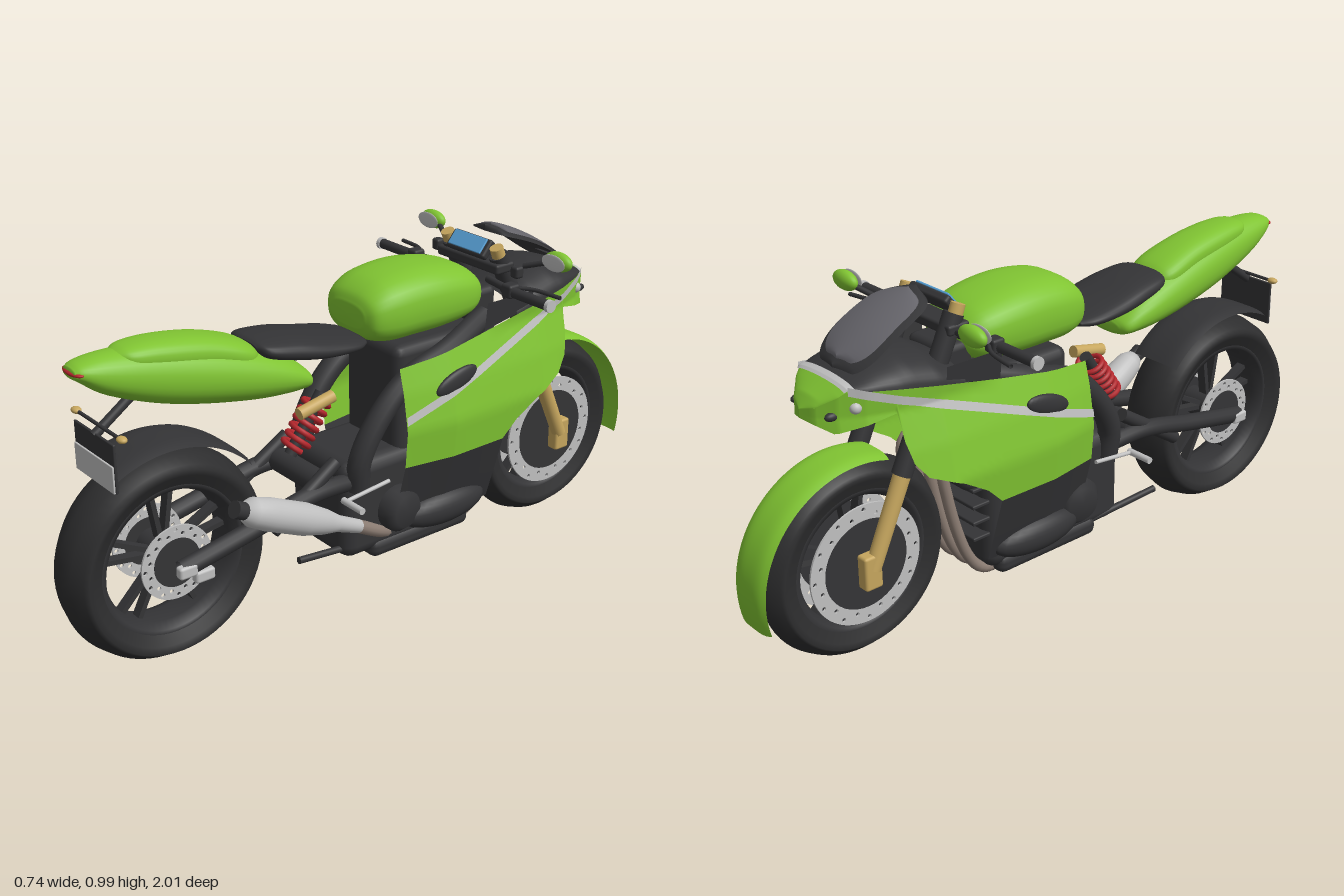
import * as THREE from 'three';
import { RoundedBoxGeometry } from 'three/addons/geometries/RoundedBoxGeometry.js';

const mat = (name, color) => new THREE.MeshStandardMaterial({ name, color, side: THREE.DoubleSide });
const V = (x, y, z) => new THREE.Vector3(x, y, z);
const rad = THREE.MathUtils.degToRad;

// Piecewise-linear lookup in [[key, value], ...] with descending keys
function table(rows, k) {
  if (k >= rows[0][0]) return rows[0][1];
  for (let i = 1; i < rows.length; i++) {
    const [k0, v0] = rows[i - 1], [k1, v1] = rows[i];
    if (k >= k1) return v0 + (v1 - v0) * (k - k0) / (k1 - k0);
  }
  return rows[rows.length - 1][1];
}

// Grid surface from fn(u, v) -> Vector3; closed wraps around in v
function surface(nu, nv, fn, closed = false) {
  const pos = [], idx = [], cols = closed ? nv : nv + 1;
  for (let i = 0; i <= nu; i++)
    for (let j = 0; j < cols; j++) pos.push(...fn(i / nu, j / nv).toArray());
  for (let i = 0; i < nu; i++)
    for (let j = 0; j < nv; j++) {
      const a = i * cols + j, b = i * cols + (j + 1) % cols;
      idx.push(a, a + cols, b, b, a + cols, b + cols);
    }
  const g = new THREE.BufferGeometry();
  g.setAttribute('position', new THREE.Float32BufferAttribute(pos, 3));
  g.setIndex(idx);
  g.computeVertexNormals();
  return g;
}

// Rounded body through stations [z, yBottom, yTop, halfWidth]
function loft(stations, e = 0.8) {
  const lo = new THREE.CatmullRomCurve3(stations.map(s => V(s[3], s[1], s[0])));
  const hi = new THREE.CatmullRomCurve3(stations.map(s => V(s[3], s[2], s[0])));
  const pw = c => Math.sign(c) * Math.pow(Math.abs(c), e);
  return surface(40, 32, (u, v) => {
    const t = THREE.MathUtils.clamp(u * 1.04 - 0.02, 0, 1), a = lo.getPoint(t), b = hi.getPoint(t);
    const k = u === 0 || u === 1 ? 0 : 1, w = v * Math.PI * 2;
    return V(a.x * k * pw(Math.cos(w)), (a.y + b.y) / 2 + k * pw(Math.sin(w)) * (b.y - a.y) / 2, (a.z + b.z) / 2);
  }, true);
}

// Fairing outline and width rules
const topEdge = [[0.01, 0.70], [-0.1, 0.71], [-0.3, 0.74], [-0.5, 0.78], [-0.62, 0.80], [-0.74, 0.812], [-0.815, 0.755]];
const lowEdge = [[0.01, 0.41], [-0.34, 0.41], [-0.39, 0.46], [-0.47, 0.51], [-0.57, 0.555], [-0.605, 0.60], [-0.62, 0.66], [-0.625, 0.735], [-0.77, 0.70], [-0.815, 0.73]];
const crown = [[-0.42, 0.815], [-0.5, 0.858], [-0.58, 0.872], [-0.66, 0.855], [-0.74, 0.825], [-0.79, 0.79], [-0.815, 0.755]];
const widthY = [[0.83, 0.178], [0.74, 0.168], [0.63, 0.202], [0.52, 0.224], [0.41, 0.214], [0.28, 0.175], [0.2, 0.15]];
const widthZ = [[0.01, 0.88], [-0.15, 1], [-0.5, 0.98], [-0.62, 0.89], [-0.7, 0.73], [-0.76, 0.52], [-0.8, 0.26], [-0.815, 0]];
const halfWidth = (y, z) => table(widthY, y) * table(widthZ, z);
const stripeY = z => 0.553 - 0.347 * (z - 0.01);

export function createModel() {
  const root = new THREE.Group();
  root.name = 'motorcycle';
  const green = mat('green paint', 0x80c432), black = mat('black plastic', 0x343436), rubber = mat('tyre rubber', 0x2d2d2e);
  const silver = mat('silver', 0xc0c0c0), gold = mat('gold', 0xc6a65e), red = mat('red', 0xb4262c);
  const blue = mat('blue display', 0x5aa5dc), smoke = mat('smoked screen', 0x65646a), pipe = mat('header pipe', 0x8c7d73);

  const add = (name, geo, m, x = 0, y = 0, z = 0) => {
    const mesh = new THREE.Mesh(geo, m);
    mesh.name = name;
    mesh.position.set(x, y, z);
    root.add(mesh);
    return mesh;
  };
  const box = (name, m, w, h, d, x, y, z, r = 0.008) => add(name, new RoundedBoxGeometry(w, h, d, 2, r), m, x, y, z);
  const ball = (name, m, rx, ry, rz, x, y, z) => {
    const o = add(name, new THREE.SphereGeometry(1, 24, 16), m, x, y, z);
    o.scale.set(rx, ry, rz);
    return o;
  };
  const tube = (name, m, r, pts) => add(name, new THREE.TubeGeometry(new THREE.CatmullRomCurve3(pts), 32, r, 12), m);
  const turned = (name, m, a, b, profile) => { // profile [radius, 0..1] turned about the line a-b
    const d = b.clone().sub(a), len = d.length();
    const o = add(name, new THREE.LatheGeometry(profile.map(p => new THREE.Vector2(p[0], p[1] * len)), 24), m, ...a.toArray());
    o.quaternion.setFromUnitVectors(V(0, 1, 0), d.normalize());
    return o;
  };
  const bar = (name, m, a, b, r, r2 = r) => turned(name, m, a, b, [[0, 0], [r, 0], [r, 0], [r2, 1], [r2, 1], [0, 1]]);
  const side = (name, m, s, z0, z1, top, low, off = 0, n = 60) => add(name, surface(n, 16, (u, v) => {
    const z = z0 + (z1 - z0) * u, lo = low(z), y = lo + (Math.max(top(z), lo) - lo) * v;
    return V(s * (halfWidth(y, z) + off), y, z);
  }), m);
  const dome = (name, m, z0, z1, off = 0) => add(name, surface(24, 24, (u, v) => {
    const z = z0 + (z1 - z0) * u, t = table(topEdge, z), a = Math.PI * v;
    return V(Math.cos(a) * (halfWidth(t, z) + off), t + Math.sin(a) * (table(crown, z) - t) + off, z);
  }), m);
  const arcShell = (name, m, cy, cz, r0, r1, a0, a1, hw) => add(name, surface(40, 10, (u, v) => {
    const a = rad(a0 + (a1 - a0) * u), w = v * 2 - 1, r = r0 + (r1 - r0) * u - 0.012 * w ** 4;
    return V(hw * w, cy + r * Math.sin(a), cz - r * Math.cos(a));
  }), m);

  // Wheels
  function wheel(label, cy, cz, R, hw, ri, disc0, disc1, discX) {
    const g = new THREE.Group();
    g.name = label;
    g.position.set(0, cy, cz);
    root.add(g);
    const put = (name, geo, m) => { const o = new THREE.Mesh(geo, m); o.name = name; g.add(o); return o; };
    const lathe = pts => new THREE.LatheGeometry(pts.map(p => new THREE.Vector2(...p)), 64).rotateZ(Math.PI / 2);
    const half = [[ri, 0.72], [ri + 0.03, 0.9], [ri + (R - ri) * 0.55, 1], [R - 0.03, 0.84], [R - 0.01, 0.5], [R, 0]];
    put('tyre', lathe([...half.map(([r, x]) => [r, -x * hw]), ...half.slice(0, -1).reverse().map(([r, x]) => [r, x * hw])]), rubber);
    const w = hw * 0.72;
    put('rim', lathe([[ri, -w], [ri - 0.012, -w], [ri - 0.025, -w * 0.5], [ri - 0.025, w * 0.5], [ri - 0.012, w], [ri, w]]), black);
    put('hub', new THREE.CylinderGeometry(0.045, 0.045, hw * 1.3, 24).rotateZ(Math.PI / 2), black);
    for (let i = 0; i < 10; i++) {
      const sp = put('spoke', new THREE.BoxGeometry(0.03, ri - 0.04, 0.014).translate(0, ri / 2 + 0.01, 0), black);
      sp.rotation.x = Math.floor(i / 2) * Math.PI * 0.4 + (i % 2 ? 0.16 : -0.16);
    }
    const ring = new THREE.Shape().absarc(0, 0, disc1, 0, Math.PI * 2);
    ring.holes.push(new THREE.Path().absarc(0, 0, disc0, 0, Math.PI * 2, true));
    for (let i = 0; i < 24; i++) {
      const a = i * Math.PI / 12, r = disc0 + (disc1 - disc0) * (i % 2 ? 0.35 : 0.7);
      ring.holes.push(new THREE.Path().absarc(Math.cos(a) * r, Math.sin(a) * r, 0.006, 0, Math.PI * 2, true));
    }
    const discGeo = new THREE.ExtrudeGeometry(ring, { depth: 0.006, bevelEnabled: false, curveSegments: 40 }).rotateY(Math.PI / 2);
    for (const s of [-1, 1]) {
      put('brakeDisc', discGeo, silver).position.x = s * discX - 0.003;
      put('discCarrier', new THREE.CylinderGeometry(disc0, disc0, 0.008, 40).rotateZ(Math.PI / 2), black).position.x = s * discX;
    }
  }
  wheel('rearWheel', 0.303, 0.695, 0.303, 0.09, 0.215, 0.07, 0.107, 0.075);
  wheel('frontWheel', 0.288, -0.685, 0.287, 0.062, 0.205, 0.13, 0.175, 0.062);
  arcShell('frontFender', green, 0.288, -0.685, 0.303, 0.327, 107, -17, 0.07);
  arcShell('rearMudguard', black, 0.303, 0.695, 0.342, 0.333, 120, 42, 0.088).rotation.set(0, 0, 0);

  // Tank, seat and tail
  add('tank', loft([[0.07, 0.80, 0.86, 0.07], [0.05, 0.765, 0.895, 0.11], [0, 0.747, 0.925, 0.13], [-0.1, 0.745, 0.94, 0.14], [-0.2, 0.747, 0.935, 0.14], [-0.3, 0.76, 0.91, 0.125], [-0.34, 0.785, 0.88, 0.1], [-0.355, 0.82, 0.85, 0.06]], 0.75), green);
  add('seat', loft([[0.41, 0.815, 0.835, 0.05], [0.39, 0.795, 0.842, 0.09], [0.3, 0.768, 0.835, 0.11], [0.2, 0.752, 0.812, 0.115], [0.1, 0.75, 0.79, 0.105], [0.06, 0.755, 0.78, 0.08]]), black);
  add('tail', loft([[0.92, 0.86, 0.885, 0.03], [0.9, 0.845, 0.895, 0.045], [0.84, 0.80, 0.903, 0.062], [0.7, 0.74, 0.895, 0.083], [0.55, 0.70, 0.868, 0.098], [0.4, 0.675, 0.822, 0.105], [0.3, 0.67, 0.775, 0.10], [0.25, 0.675, 0.735, 0.085], [0.235, 0.69, 0.715, 0.05]], 0.9), green);
  add('tailPad', loft([[0.8, 0.87, 0.9, 0.03], [0.77, 0.85, 0.91, 0.055], [0.7, 0.83, 0.912, 0.068], [0.55, 0.80, 0.89, 0.077], [0.43, 0.77, 0.848, 0.078], [0.395, 0.78, 0.82, 0.05]]), green);
  ball('tailLight', red, 0.046, 0.009, 0.02, 0, 0.873, 0.905);

  // Number plate and rear indicators
  box('plateHolder', black, 0.2, 0.135, 0.008, 0, 0.632, 0.864, 0.003);
  box('numberPlate', silver, 0.194, 0.075, 0.006, 0, 0.603, 0.87, 0.002);
  bar('plateArm', black, V(0, 0.69, 0.865), V(0, 0.785, 0.73), 0.013);
  bar('indicatorStalk', black, V(-0.11, 0.715, 0.85), V(0.11, 0.715, 0.85), 0.005);

  // Nose, cowl and windscreen
  dome('cowl', black, -0.42, -0.735);
  dome('noseCap', green, -0.735, -0.815);
  dome('noseStripe', silver, -0.725, -0.748, 0.004);
  add('noseFloor', surface(20, 8, (u, v) => {
    const z = -0.625 - 0.19 * u, y = table(lowEdge, z);
    return V((v * 2 - 1) * halfWidth(y, z), y, z);
  }), green);
  const screen = (name, m, k, off) => add(name, surface(30, 16, (u, v) => {
    const t = 0.5 + (u - 0.5) * k, w = (v * 2 - 1) * k;
    const hw = 0.118 * Math.pow(Math.max(0, 1 - Math.pow(Math.abs(u * 2 - 1), 3.5)), 0.4) * (0.86 + 0.14 * u);
    return V(w * hw, 0.99 - 0.145 * t + 0.09 * t * (1 - t) - 0.02 * w * w + off, -0.44 - 0.27 * t - off);
  }), m);
  screen('windscreenEdge', black, 1, 0);
  screen('windscreen', smoke, 0.86, 0.005);

  // Engine, belly and frame centre
  box('engineBlock', black, 0.27, 0.3, 0.5, 0, 0.29, -0.07, 0.04);
  box('bellyPan', black, 0.28, 0.06, 0.37, 0, 0.148, -0.1, 0.025);
  box('cylinderBlock', black, 0.24, 0.34, 0.37, 0, 0.57, -0.2, 0.03);
  for (let i = 0; i < 5; i++) box('coolingFin', black, 0.25, 0.012, 0.06, 0, 0.26 + i * 0.05, -0.34, 0.004);
  box('steeringHead', black, 0.16, 0.14, 0.1, 0, 0.76, -0.37, 0.02);
  for (const x of [-0.09, -0.03, 0.03, 0.09])
    tube('headerPipe', pipe, 0.016, [V(x, 0.55, -0.38), V(x, 0.51, -0.44), V(x, 0.4, -0.43), V(x, 0.2, -0.365), V(x, 0.14, -0.31), V(x * 0.8, 0.13, -0.18)]);

  // Mirrored parts
  for (const s of [-1, 1]) {
    side('sideFairing', green, s, 0.01, -0.815, z => table(topEdge, z), z => table(lowEdge, z), 0, 165);
    side('fairingStripe', silver, s, 0.01, -0.74, z => stripeY(z) + 0.012, z => stripeY(z) - 0.012, 0.004);
    side('lowerPanel', black, s, 0.01, -0.34, () => 0.41, () => 0.2);
    side('innerCowl', black, s, -0.3, -0.48, () => 0.825, z => table(topEdge, z), -0.004);
    ball('fairingVent', black, 0.014, 0.03, 0.077, s * 0.199, 0.635, -0.165).rotation.x = 0.3;
    ball('engineCover', black, 0.05, 0.055, 0.155, s * 0.15, 0.225, -0.165);
    turned('clutchCover', black, V(s * 0.1, 0.265, 0), V(s * 0.18, 0.265, -0.01), [[0.07, 0], [0.07, 0.7], [0.05, 1], [0, 1]]);
    tube('frameBeam', black, 0.034, [V(s * 0.125, 0.36, 0.13), V(s * 0.135, 0.45, 0.13), V(s * 0.14, 0.56, 0.07), V(s * 0.14, 0.65, -0.03), V(s * 0.135, 0.7, -0.18), V(s * 0.09, 0.75, -0.36)]);
    ball('headlight', silver, 0.016, 0.016, 0.016, s * 0.108, 0.765, -0.72);
    ball('noseIntake', black, 0.012, 0.012, 0.022, s * 0.075, 0.745, -0.768);
    ball('indicator', gold, 0.017, 0.009, 0.013, s * 0.115, 0.716, 0.85);

    // Fork
    bar('forkLower', gold, V(s * 0.1, 0.29, -0.69), V(s * 0.1, 0.56, -0.57), 0.022, 0.024);
    bar('forkUpper', black, V(s * 0.1, 0.53, -0.585), V(s * 0.1, 0.93, -0.4), 0.028);
    bar('forkCap', gold, V(s * 0.105, 0.925, -0.4), V(s * 0.105, 0.955, -0.388), 0.02);
    box('frontCaliper', gold, 0.04, 0.1, 0.055, s * 0.095, 0.285, -0.695);

    // Handlebar, levers and mirrors
    bar('handlebar', black, V(s * 0.09, 0.86, -0.375), V(s * 0.23, 0.86, -0.35), 0.011);
    bar('grip', black, V(s * 0.225, 0.86, -0.35), V(s * 0.362, 0.86, -0.35), 0.015);
    bar('barEnd', silver, V(s * 0.358, 0.86, -0.35), V(s * 0.37, 0.86, -0.35), 0.018);
    box('switchBlock', black, 0.04, 0.04, 0.04, s * 0.205, 0.862, -0.353);
    tube('lever', black, 0.006, [V(s * 0.2, 0.865, -0.37), V(s * 0.25, 0.865, -0.4), V(s * 0.34, 0.862, -0.415)]);
    box('reservoir', black, 0.03, 0.035, 0.03, s * 0.17, 0.895, -0.41);
    bar('mirrorStem', black, V(s * 0.165, 0.905, -0.44), V(s * 0.235, 0.928, -0.47), 0.008);
    ball('mirrorShell', green, 0.05, 0.028, 0.022, s * 0.268, 0.937, -0.475);
    ball('mirrorGlass', silver, 0.045, 0.024, 0.004, s * 0.268, 0.937, -0.453);

    // Swingarm, axle and footpegs
    tube('swingarm', black, 0.026, [V(s * 0.11, 0.38, 0.12), V(s * 0.122, 0.39, 0.28), V(s * 0.124, 0.35, 0.48), V(s * 0.122, 0.305, 0.71)]);
    bar('swingarmBrace', black, V(s * 0.115, 0.46, 0.2), V(s * 0.122, 0.32, 0.42), 0.02);
    box('axleBlock', silver, 0.028, 0.035, 0.055, s * 0.135, 0.305, 0.7);
    bar('footpeg', silver, V(s * 0.15, 0.355, 0.2), V(s * 0.235, 0.355, 0.2), 0.01);
    bar('pedal', silver, V(s * 0.16, 0.355, 0.2), V(s * 0.165, 0.375, 0.05), 0.006);
  }
  bar('swingarmCross', black, V(-0.12, 0.4, 0.24), V(0.12, 0.4, 0.24), 0.035);
  box('rearCaliper', silver, 0.03, 0.035, 0.06, 0.1, 0.255, 0.63);
  box('tripleClamp', black, 0.26, 0.03, 0.07, 0, 0.895, -0.405);
  bar('sideStand', black, V(-0.12, 0.16, 0.05), V(-0.14, 0.185, 0.32), 0.01);
  bar('stay', black, V(0.1, 0.16, 0.05), V(0.1, 0.185, 0.32), 0.01);

  // Dash
  box('dashHousing', black, 0.16, 0.06, 0.025, 0, 0.94, -0.385).rotation.x = -0.7;
  box('dashScreen', blue, 0.135, 0.048, 0.006, 0, 0.951, -0.374, 0.002).rotation.x = -0.7;

  // Rear shock: damper, spring and gas reservoir
  const a = V(0, 0.46, 0.27), b = V(0, 0.62, 0.16), coil = [];
  bar('damper', black, a, b, 0.018);
  for (let i = 0; i <= 72; i++) {
    const t = i / 12 * Math.PI * 2;
    coil.push(V(Math.cos(t) * 0.036, 0.02 + i / 72 * 0.15, Math.sin(t) * 0.036));
  }
  const spring = add('shockSpring', new THREE.TubeGeometry(new THREE.CatmullRomCurve3(coil), 160, 0.008, 8), red, ...a.toArray());
  spring.quaternion.setFromUnitVectors(V(0, 1, 0), b.clone().sub(a).normalize());
  bar('shockReservoir', gold, V(0.045, 0.598, 0.27), V(0.045, 0.622, 0.155), 0.018);

  // Muffler
  turned('muffler', silver, V(0.182, 0.45, 0.55), V(0.14, 0.25, 0.14), [[0, 0], [0.025, 0], [0.04, 0.06], [0.046, 0.2], [0.046, 0.5], [0.036, 0.68], [0.024, 0.8], [0.02, 1]]);
  bar('mufflerTip', black, V(0.182, 0.449, 0.548), V(0.184, 0.465, 0.58), 0.024);
  tube('linkPipe', pipe, 0.02, [V(0.14, 0.255, 0.15), V(0.125, 0.2, 0.05), V(0.07, 0.135, -0.1)]);
  return root;
}
